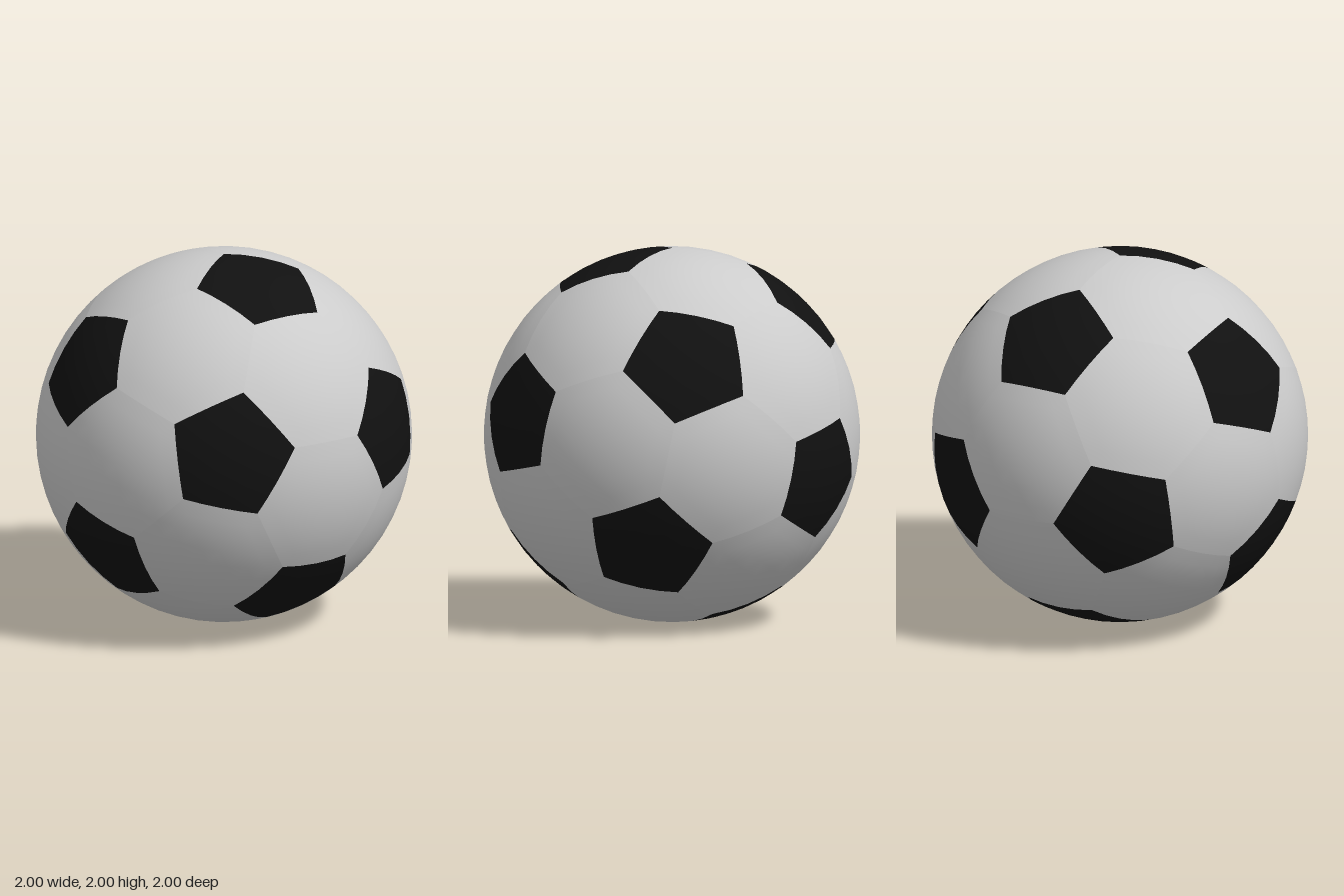
import * as THREE from 'three';
import { mergeVertices } from 'three/addons/utils/BufferGeometryUtils.js';

const RADIUS = 1;
const STEPS = 4; // subdivisions from panel centre to rim

// Twelve icosahedron directions, turned so that a seam corner points straight up
// and one pentagon edge at that corner runs along +x.
function icosahedronDirections() {
  const s5 = Math.sqrt(5);
  const tilt = Math.atan2(2 / s5, 2 + 1 / s5);
  const azimuth = Math.atan(Math.cos(tilt) * Math.tan(Math.PI / 5));
  const up = new THREE.Vector3(0, 1, 0);
  const across = new THREE.Vector3(Math.sin(azimuth), 0, Math.cos(azimuth));
  const axis = up.clone().multiplyScalar(Math.cos(tilt)).addScaledVector(across, Math.sin(tilt));
  const w = up.clone().multiplyScalar(Math.sin(tilt)).addScaledVector(across, -Math.cos(tilt));
  const n = axis.clone().cross(w);
  const half = [axis];
  for (let k = 0; k < 5; k++) {
    const a = (k * 2 * Math.PI) / 5;
    half.push(axis.clone().addScaledVector(w, 2 * Math.cos(a)).addScaledVector(n, 2 * Math.sin(a)).normalize());
  }
  return [...half, ...half.map((d) => d.clone().negate())];
}

// Corner one third of the way from a to b
const third = (a, b) => a.clone().multiplyScalar(2).add(b).divideScalar(3);

// Curved panel: a fan of subdivided triangles pushed out onto the sphere
function panelGeometry(corners) {
  const centre = new THREE.Vector3();
  corners.forEach((c) => centre.add(c));
  centre.divideScalar(corners.length);

  // sort corners counter-clockwise seen from outside
  const axis = centre.clone().normalize();
  const e1 = corners[0].clone().sub(centre).normalize();
  const e2 = axis.clone().cross(e1);
  const angle = (c) => {
    const d = c.clone().sub(centre);
    return Math.atan2(d.dot(e2), d.dot(e1));
  };
  const ring = [...corners].sort((a, b) => angle(a) - angle(b));

  const positions = [];
  ring.forEach((a, i) => {
    const b = ring[(i + 1) % ring.length];
    const push = (p, q) => {
      const v = centre.clone().multiplyScalar(1 - (p + q) / STEPS)
        .addScaledVector(a, p / STEPS).addScaledVector(b, q / STEPS).setLength(RADIUS);
      positions.push(v.x, v.y, v.z);
    };
    for (let p = 0; p < STEPS; p++) {
      for (let q = 0; q < STEPS - p; q++) {
        push(p, q); push(p + 1, q); push(p, q + 1);
        if (p + q < STEPS - 1) {
          push(p + 1, q); push(p + 1, q + 1); push(p, q + 1);
        }
      }
    }
  });
  const raw = new THREE.BufferGeometry();
  raw.setAttribute('position', new THREE.Float32BufferAttribute(positions, 3));
  const geometry = mergeVertices(raw, 1e-5);
  geometry.computeVertexNormals(); // smooth inside a panel, a soft break at its seams
  return geometry;
}

export function createModel() {
  const ball = new THREE.Group();
  ball.name = 'football';
  const grey = new THREE.MeshStandardMaterial({ color: 0xcccccc });
  const black = new THREE.MeshStandardMaterial({ color: 0x111111 });

  const dirs = icosahedronDirections();
  const near = (a, b) => a !== b && a.dot(b) > 0.4;

  const addPanel = (name, corners, material) => {
    const mesh = new THREE.Mesh(panelGeometry(corners), material);
    mesh.name = name;
    mesh.position.y = RADIUS;
    ball.add(mesh);
  };

  // black pentagons, one per icosahedron corner
  dirs.forEach((d, i) => {
    const corners = dirs.filter((o) => near(d, o)).map((o) => third(d, o));
    addPanel(`pentagonPanel${i + 1}`, corners, black);
  });

  // grey hexagons, one per icosahedron face
  let count = 0;
  for (let i = 0; i < 12; i++) {
    for (let j = i + 1; j < 12; j++) {
      for (let k = j + 1; k < 12; k++) {
        const [a, b, c] = [dirs[i], dirs[j], dirs[k]];
        if (!near(a, b) || !near(b, c) || !near(a, c)) continue;
        const corners = [third(a, b), third(b, a), third(b, c), third(c, b), third(c, a), third(a, c)];
        addPanel(`hexagonPanel${++count}`, corners, grey);
      }
    }
  }
  return ball;
}
